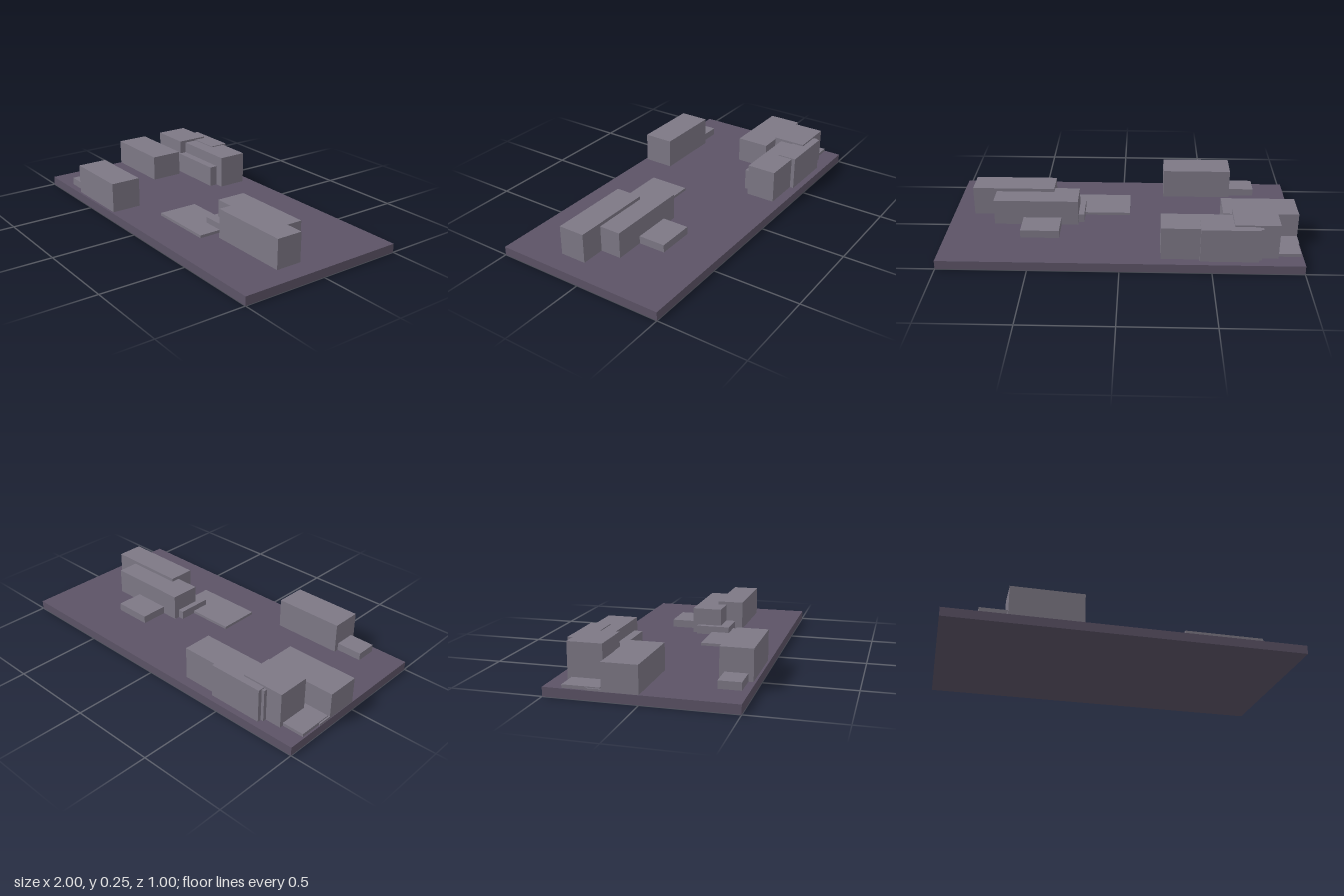
import * as THREE from 'three';

export function createModel() {
  const model = new THREE.Group();
  const slate = new THREE.MeshStandardMaterial({ color: 0x5c5366 });
  slate.name = 'dark slate';
  const stone = new THREE.MeshStandardMaterial({ color: 0x7d7885 });
  stone.name = 'grey stone';

  // Box given by its extents
  function block(name, parent, material, [x0, x1, z0, z1, top], bottom = 0.02) {
    const mesh = new THREE.Mesh(new THREE.BoxGeometry(x1 - x0, top - bottom, z1 - z0), material);
    mesh.position.set((x0 + x1) / 2, (top + bottom) / 2, (z0 + z1) / 2);
    mesh.name = name;
    parent.add(mesh);
  }

  // Ground slab
  block('baseSlab', model, slate, [-1, 1, -0.5, 0.5, 0.05], 0);

  // Clusters of blocks, each [x0, x1, z0, z1, top], rooted in the slab
  const clusters = {
    frontBlocks: [
      [-0.655, -0.25, 0.31, 0.487, 0.223],
      [-0.805, -0.45, 0.337, 0.46, 0.093],
    ],
    sideBlocks: [
      [-0.998, -0.575, -0.192, 0, 0.2],
      [-0.998, -0.665, -0.272, -0.18, 0.062],
      [-0.99, -0.665, -0.4, -0.2, 0.068],
    ],
    backBlocks: [
      [-0.863, -0.617, -0.422, -0.232, 0.252],
      [-0.77, -0.223, -0.442, -0.272, 0.238],
      [-0.753, -0.435, -0.464, -0.352, 0.243],
      [-0.7, -0.273, -0.4, -0.224, 0.172],
    ],
    centreBlocks: [
      [0.397, 0.877, 0.052, 0.205, 0.219],
      [0.25, 0.738, -0.072, 0.103, 0.2],
      [0.348, 0.568, -0.23, 0, 0.095],
      [0.217, 0.5, -0.04, 0.16, 0.1],
      [-0.048, 0.343, 0.055, 0.29, 0.066],
    ],
  };
  for (const [name, blocks] of Object.entries(clusters)) {
    const group = new THREE.Group();
    group.name = name;
    blocks.forEach((extents, i) => block(`${name}${i + 1}`, group, stone, extents));
    model.add(group);
  }
  return model;
}
